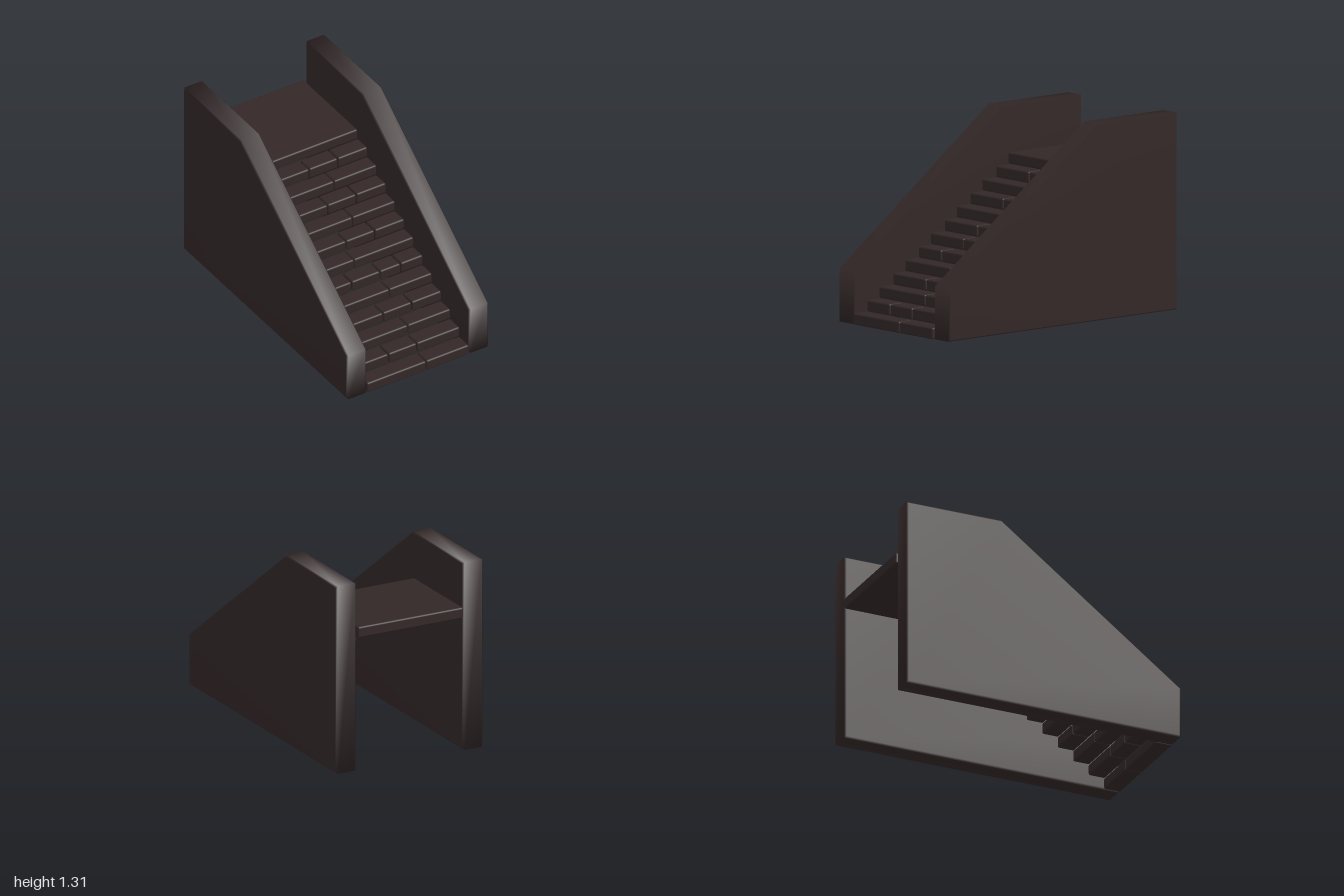
import * as THREE from 'three';
import { mergeVertices } from 'three/addons/utils/BufferGeometryUtils.js';
import { RoundedBoxGeometry } from 'three/addons/geometries/RoundedBoxGeometry.js';

const stone = new THREE.MeshStandardMaterial({ color: 0x332727 });
stone.name = 'darkStone';

const ROWS = 12, RISE = 1 / 13, TREAD = 0.1117, DEPTH = 0.12, BEVEL = 0.012;

// Bevelled block given by its extents
function block(name, x0, x1, y0, y1, z0, z1) {
  const geometry = new RoundedBoxGeometry(x1 - x0, y1 - y0, z1 - z0, 2, BEVEL);
  const mesh = new THREE.Mesh(geometry, stone);
  mesh.position.set((x0 + x1) / 2, (y0 + y1) / 2, (z0 + z1) / 2);
  mesh.name = name;
  return mesh;
}

// Sloped side wall with chamfered edges; the profile is drawn in (z, y)
function wallGeometry() {
  const b = BEVEL, thickness = 0.153;
  const shape = new THREE.Shape([
    [-0.99 + b, 0.003 + b], [0.993 - b, 0.003 + b], [0.993 - b, 0.355 - b / 2],
    [-0.31 + b / 3, 1.308 - b], [-0.99 + b, 1.308 - b],
  ].map(([z, y]) => new THREE.Vector2(z, y)));
  let geometry = new THREE.ExtrudeGeometry(shape, {
    depth: thickness - 2 * b, bevelEnabled: true, bevelSize: b, bevelThickness: b, bevelSegments: 1,
  });
  geometry.translate(0, 0, -(thickness - 2 * b) / 2);
  geometry.rotateY(-Math.PI / 2);
  geometry.deleteAttribute('uv');
  geometry.deleteAttribute('normal');
  geometry = mergeVertices(geometry);
  geometry.computeVertexNormals();
  return geometry;
}

export function createModel() {
  const group = new THREE.Group();
  group.name = 'staircase';

  // Side walls
  const wall = wallGeometry();
  for (const [name, side] of [['leftWall', 1], ['rightWall', -1]]) {
    const mesh = new THREE.Mesh(wall, stone);
    mesh.position.x = side * 0.4745;
    mesh.name = name;
    group.add(mesh);
  }

  // Brick courses: [start, end] across the width
  const patterns = {
    two: [[-0.397, 0.062], [0.065, 0.394]],
    shifted: [[-0.397, -0.068], [-0.067, 0.394]],
    left: [[-0.388, -0.161], [-0.155, 0.06], [0.064, 0.394]],
    three: [[-0.388, -0.059], [-0.055, 0.162], [0.168, 0.394]],
    four: [[-0.388, -0.161], [-0.155, 0.06], [0.064, 0.22], [0.226, 0.394]],
  };
  const courses = ['two', 'left', 'two', 'three', 'two', 'four',
    'shifted', 'three', 'two', 'three', 'two', 'three'];

  // Steps
  for (let i = 0; i < ROWS; i++) {
    const step = new THREE.Group();
    step.name = `step${i + 1}`;
    const front = 1 - i * TREAD;
    patterns[courses[i]].forEach(([x0, x1], n) => {
      step.add(block(`brick${n + 1}`, x0, x1, i * RISE, (i + 1) * RISE, front - DEPTH, front));
    });
    group.add(step);
  }

  // Top landing slab
  group.add(block('landing', -0.397, 0.39, ROWS * RISE, 1, -1, 1 - ROWS * TREAD));
  return group;
}
